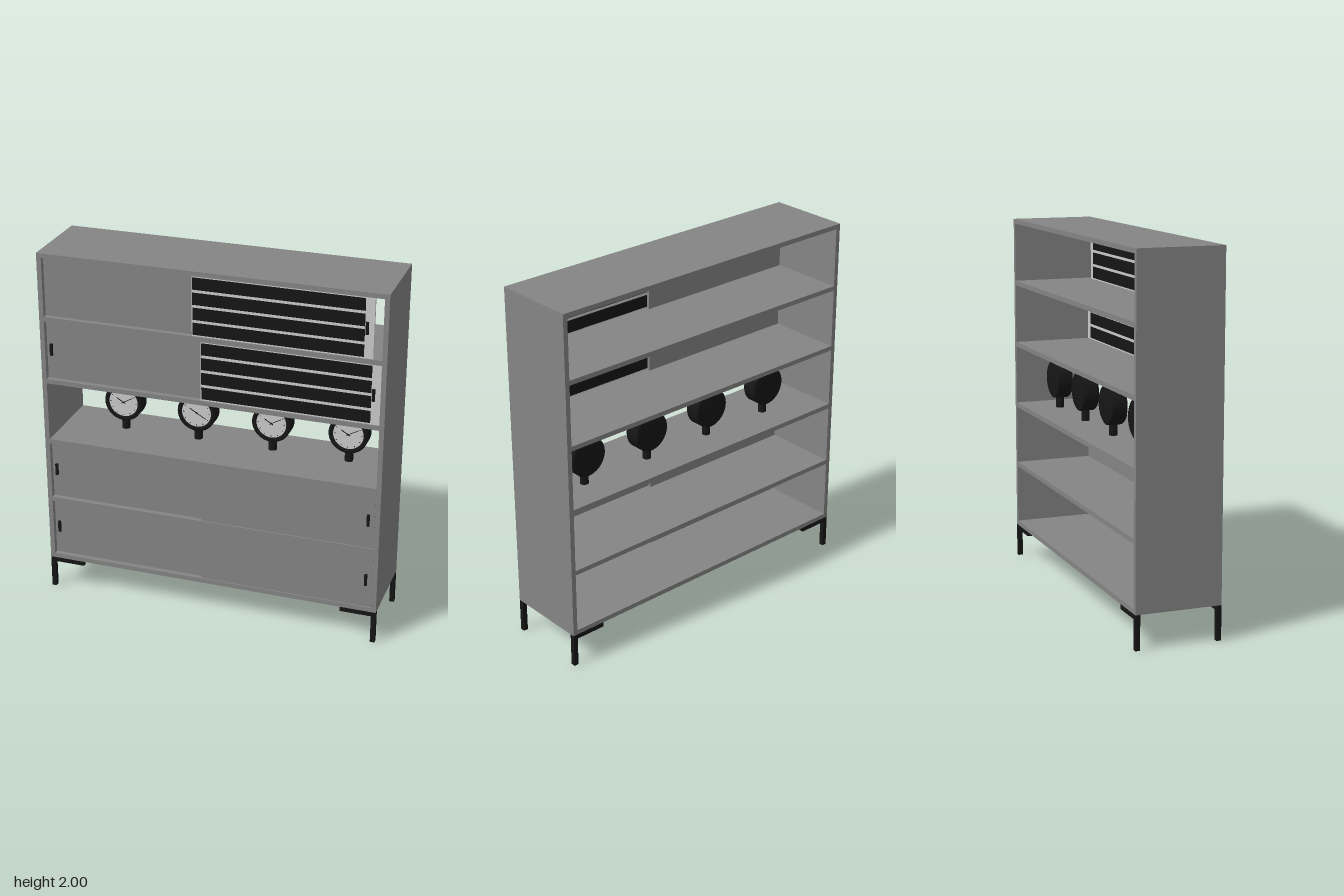
import * as THREE from 'three';

const mat = (color) => new THREE.MeshStandardMaterial({ color });

export function createModel() {
  const model = new THREE.Group();
  const body = mat(0x858585), black = mat(0x161616), light = mat(0xcccccc);

  // box given by its min and max on each axis
  const box = (name, m, x0, x1, y0, y1, z0, z1, parent = model) => {
    const mesh = new THREE.Mesh(new THREE.BoxGeometry(x1 - x0, y1 - y0, z1 - z0), m);
    mesh.position.set((x0 + x1) / 2, (y0 + y1) / 2, (z0 + z1) / 2);
    mesh.name = name;
    parent.add(mesh);
    return mesh;
  };

  const W = 0.945, T = 0.026, zB = -0.236, zF = 0.232;

  // shelves, listed by underside height
  const shelves = [0.186, 0.545, 0.902, 1.261, 1.619, 1.974];
  shelves.forEach((y) => box('shelf', body, -W, W, y, y + T, zB, zF));

  // side panels of each bay
  for (let i = 0; i < 5; i++) {
    for (const s of [-1, 1]) {
      const xs = [s * W, s * (W - T)].sort((a, b) => a - b);
      box('sidePanel', body, xs[0], xs[1], shelves[i] + T, shelves[i + 1], zB, zF);
    }
  }

  // sliding doors: left ones run behind the right ones
  const handle = (x, y, z) => box('handle', black, x - 0.007, x + 0.007, y - 0.033, y + 0.033, z, z + 0.013);
  [0, 1, 3, 4].forEach((i) => {
    const y0 = shelves[i] + T, y1 = shelves[i + 1], mid = (y0 + y1) / 2;
    const slide = i === 4 ? -0.046 : 0;
    const slatted = i >= 3;
    box('leftDoor', body, -W + T, 0.05, y0, y1, 0.188, 0.204);
    if (i !== 4) handle(-0.893, mid, 0.204);

    const x0 = -0.043 + slide, x1 = 0.917 + slide;
    box('rightDoor', slatted ? light : body, x0, x1, y0, y1, 0.21, 0.225);
    handle(0.882 + slide, mid, 0.225);

    // dark slats showing on both faces of the upper doors
    if (slatted) {
      const pitch = (y1 - y0) / 4;
      for (let k = 0; k < 4; k++) {
        const c = y0 + pitch * (k + 0.5);
        box('slat', black, x0 + 0.005, x1 - 0.048, c - 0.033, c + 0.033, 0.207, 0.228);
      }
    }
  });

  // legs with a mounting bar along the underside
  for (const s of [-1, 1]) {
    for (const z of [zB, zF - 0.026]) {
      const leg = new THREE.Group();
      leg.name = 'leg';
      const span = (a, b) => [s * a, s * b].sort((p, q) => p - q);
      box('post', black, ...span(W, W - 0.026), 0, 0.186, z, z + 0.026, leg);
      box('mountingBar', black, ...span(W - 0.026, 0.745), 0.16, 0.186, z, z + 0.026, leg);
      model.add(leg);
    }
  }

  // clocks held between two shelves
  const floor = shelves[2] + T, ceiling = shelves[3], cy = 1.094, R = 0.108;
  const cyl = (name, m, r, h, y, z, parent, facing = false) => {
    const mesh = new THREE.Mesh(new THREE.CylinderGeometry(r, r, h, 40), m);
    if (facing) mesh.rotation.x = Math.PI / 2;
    mesh.position.set(0, y, z);
    mesh.name = name;
    parent.add(mesh);
  };
  const caseProfile = [[0, -0.047], [0.096, -0.047], [R, -0.04], [R, 0.034], [0.102, 0.042],
    [0.088, 0.042], [0.082, 0.03], [0, 0.03]].map(([r, h]) => new THREE.Vector2(r, h));
  [-0.577, -0.152, 0.273, 0.698].forEach((x, n) => {
    const clock = new THREE.Group();
    clock.name = 'clock';
    const shell = new THREE.Mesh(new THREE.LatheGeometry(caseProfile, 48), black);
    shell.rotation.x = Math.PI / 2;
    shell.position.y = cy;
    shell.name = 'clockCase';
    clock.add(shell);
    cyl('dial', light, 0.083, 0.006, cy, 0.031, clock, true);

    // stems above and below, with a flange under the upper shelf
    const top = cy + R - 0.012, bottom = cy - R + 0.012;
    cyl('upperStem', black, 0.023, ceiling - top, (ceiling + top) / 2, 0, clock);
    cyl('lowerStem', black, 0.023, bottom - floor, (bottom + floor) / 2, 0, clock);
    cyl('flange', black, 0.037, 0.01, ceiling - 0.005, 0, clock);

    // radial bars serve as hour marks and hands
    const bar = (name, angle, r0, r1, w) => {
      const pivot = new THREE.Group();
      pivot.position.set(0, cy, 0.035);
      pivot.rotation.z = -angle;
      box(name, black, -w / 2, w / 2, r0, r1, -0.001, 0.001, pivot);
      clock.add(pivot);
    };
    for (let k = 0; k < 12; k++) bar('hourMark', k * Math.PI / 6, 0.07, 0.077, 0.003);
    bar('minuteHand', [1.05, 2.1, 1.05, 1.05][n], -0.012, 0.062, 0.003);
    bar('hourHand', 5.25, -0.012, 0.045, 0.004);
    cyl('handHub', black, 0.005, 0.004, cy, 0.035, clock, true);

    clock.position.set(x, 0, -0.046);
    model.add(clock);
  });

  return model;
}
